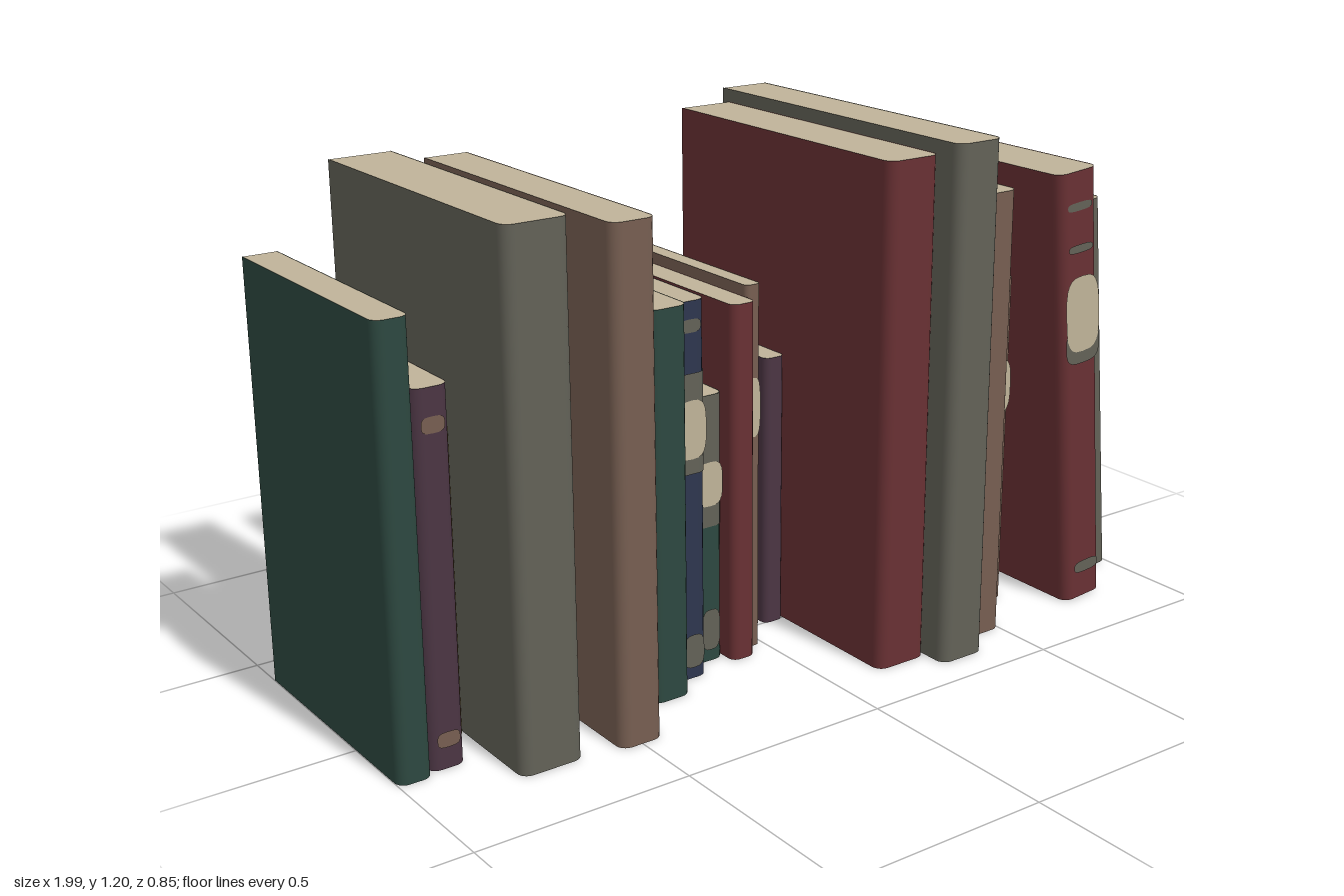
import * as THREE from 'three';

const mat = (name, color) => {
  const m = new THREE.MeshStandardMaterial({ color, side: THREE.DoubleSide });
  m.name = name;
  return m;
};

// Cover outline seen from above: back right, round the spine, back left
function outline(w, back, front) {
  const r = Math.min(0.025, w * 0.3), n = 5;
  const pts = [{ x: w / 2, z: back, nx: 1, nz: 0 }];
  for (const side of [1, -1]) {
    for (let i = 0; i <= n; i++) {
      const a = (side > 0 ? i / n : 1 + i / n) * Math.PI / 2;
      const nx = Math.cos(a), nz = Math.sin(a);
      pts.push({ x: side * (w / 2 - r) + r * nx, z: front - r + r * nz, nx, nz });
    }
  }
  pts.push({ x: -w / 2, z: back, nx: -1, nz: 0 });
  return pts;
}

// Upright open wall following an outline
function wall(pts, y0, y1) {
  const pos = [], nor = [], idx = [];
  pts.forEach((p, i) => {
    pos.push(p.x, y0, p.z, p.x, y1, p.z);
    nor.push(p.nx, 0, p.nz, p.nx, 0, p.nz);
    if (i < pts.length - 1) {
      const a = 2 * i, b = a + 2;
      idx.push(b, a, a + 1, b, a + 1, b + 1);
    }
  });
  const g = new THREE.BufferGeometry();
  g.setAttribute('position', new THREE.Float32BufferAttribute(pos, 3));
  g.setAttribute('normal', new THREE.Float32BufferAttribute(nor, 3));
  g.setIndex(idx);
  return g;
}

// Flat page top filling the outline
function pageTop(pts, y) {
  const g = new THREE.ShapeGeometry(new THREE.Shape(pts.map(p => new THREE.Vector2(p.x, -p.z))));
  return g.rotateX(-Math.PI / 2).translate(0, y, 0);
}

// Rounded label, between an ellipse and a rectangle
function label(w, h) {
  const pts = [];
  for (let i = 0; i < 24; i++) {
    const a = i / 24 * Math.PI * 2, c = Math.cos(a), s = Math.sin(a);
    pts.push(new THREE.Vector2(
      Math.sign(c) * Math.abs(c) ** 0.6 * w / 2,
      Math.sign(s) * Math.abs(s) ** 0.6 * h / 2));
  }
  return new THREE.ShapeGeometry(new THREE.Shape(pts));
}

// Books stand pushed back to one of three lines
const BACK = { far: -0.43, mid: -0.405, near: -0.385 };

export function createModel() {
  const M = {
    teal: mat('teal cover', 0x2d4840),
    purple: mat('purple cover', 0x4b3543),
    gold: mat('gold cover', 0x8a6b2c),
    gray: mat('gray cover', 0x626157),
    brown: mat('brown cover', 0x765e51),
    navy: mat('navy cover', 0x2e364e),
    red: mat('red cover', 0x683033),
    cream: mat('cream paper', 0xbfb399),
  };
  const model = new THREE.Group();
  model.name = 'bookRow';

  // marks: [kind, bottom, top, colour], each lying just in front of the last
  function addBook(x, colour, width, height, front, backLine, marks = []) {
    const pts = outline(width - 0.002, BACK[backLine], front);
    const book = new THREE.Group();
    book.name = colour + 'Book';
    const add = (name, geo, material) => {
      const mesh = new THREE.Mesh(geo.translate(width / 2, 0, 0), material);
      mesh.name = name;
      book.add(mesh);
    };
    add('cover', wall(pts, 0, height), M[colour]);
    add('pageTop', pageTop(pts, height - 0.001), M.cream);
    marks.forEach(([kind, y0, y1, c], i) => {
      const lift = 0.002 * (i + 1);
      if (kind === 'band') {
        const arc = pts.slice(1, -1).map(p => ({ ...p, z: p.z + lift }));
        add('spineBand', wall(arc, y0, y1), M[c]);
      } else {
        const plate = label(width * (kind === 'spot' ? 0.62 : 0.86), y1 - y0);
        add(kind === 'spot' ? 'spineSpot' : 'spineLabel',
          plate.translate(0, (y0 + y1) / 2, front + lift), M[c]);
      }
    });
    book.position.x = x;
    model.add(book);
    return book;
  }

  // Upright books, side by side: colour, width, height, front z, back line, marks
  const upright = [
    ['teal', 0.08, 0.98, 0.195, 'mid'],
    ['purple', 0.085, 0.825, 0.18, 'far',
      [['spot', 0.73, 0.765, 'brown'], ['spot', 0.05, 0.085, 'brown']]],
    ['gold', 0.055, 0.69, 0.07, 'far'],
    ['gray', 0.15, 1.155, 0.31, 'far'],
    ['gold', 0.078, 0.615, 0.08, 'near'],
    ['brown', 0.107, 1.13, 0.33, 'far'],
    ['gray', 0.063, 0.79, 0.19, 'mid'],
    ['teal', 0.1, 0.895, 0.2, 'far'],
    ['navy', 0.087, 0.88, 0.14, 'near',
      [['spot', 0.81, 0.84, 'gray'], ['band', 0.49, 0.72, 'gray'],
        ['label', 0.525, 0.66, 'cream'], ['spot', 0.03, 0.11, 'gray']]],
    ['teal', 0.08, 0.64, 0.09, 'near',
      [['band', 0.33, 0.64, 'gray'], ['label', 0.38, 0.485, 'cream'], ['spot', 0.03, 0.13, 'gray']]],
    ['red', 0.065, 0.845, 0.125, 'near'],
    ['brown', 0.042, 0.87, 0.085, 'mid', [['label', 0.515, 0.655, 'cream']]],
    ['gray', 0.073, 0.525, -0.02, 'far'],
    ['purple', 0.057, 0.66, 0.005, 'far'],
    ['red', 0.139, 1.17, 0.36, 'mid'],
    ['gray', 0.126, 1.2, 0.42, 'far'],
    ['brown', 0.118, 1.06, 0.35, 'near'],
    ['brown', 0.039, 0.8, 0.1, 'far', [['label', 0.49, 0.59, 'cream']]],
    ['brown', 0.091, 0.81, 0.22, 'near', [['label', 0.48, 0.615, 'cream']]],
  ];
  let x = -1;
  for (const spec of upright) {
    addBook(x, ...spec);
    x += spec[1];
  }

  // Three books leaning back towards the row
  const lean = (book, degrees) => { book.rotation.z = degrees * Math.PI / 180; };
  lean(addBook(0.73, 'red', 0.123, 1.073, 0.34, 'far',
    [['spot', 0.98, 1, 'gray'], ['spot', 0.88, 0.9, 'gray'], ['label', 0.61, 0.7, 'gray'],
      ['label', 0.64, 0.825, 'cream'], ['spot', 0.07, 0.1, 'gray']]), 4.9);
  lean(addBook(0.857, 'teal', 0.064, 0.56, 0.065, 'far',
    [['band', 0.47, 0.54, 'gray'], ['spot', 0.02, 0.11, 'gray']]), 5);
  lean(addBook(0.928, 'gray', 0.066, 0.963, 0.22, 'mid'), 5.4);
  return model;
}
